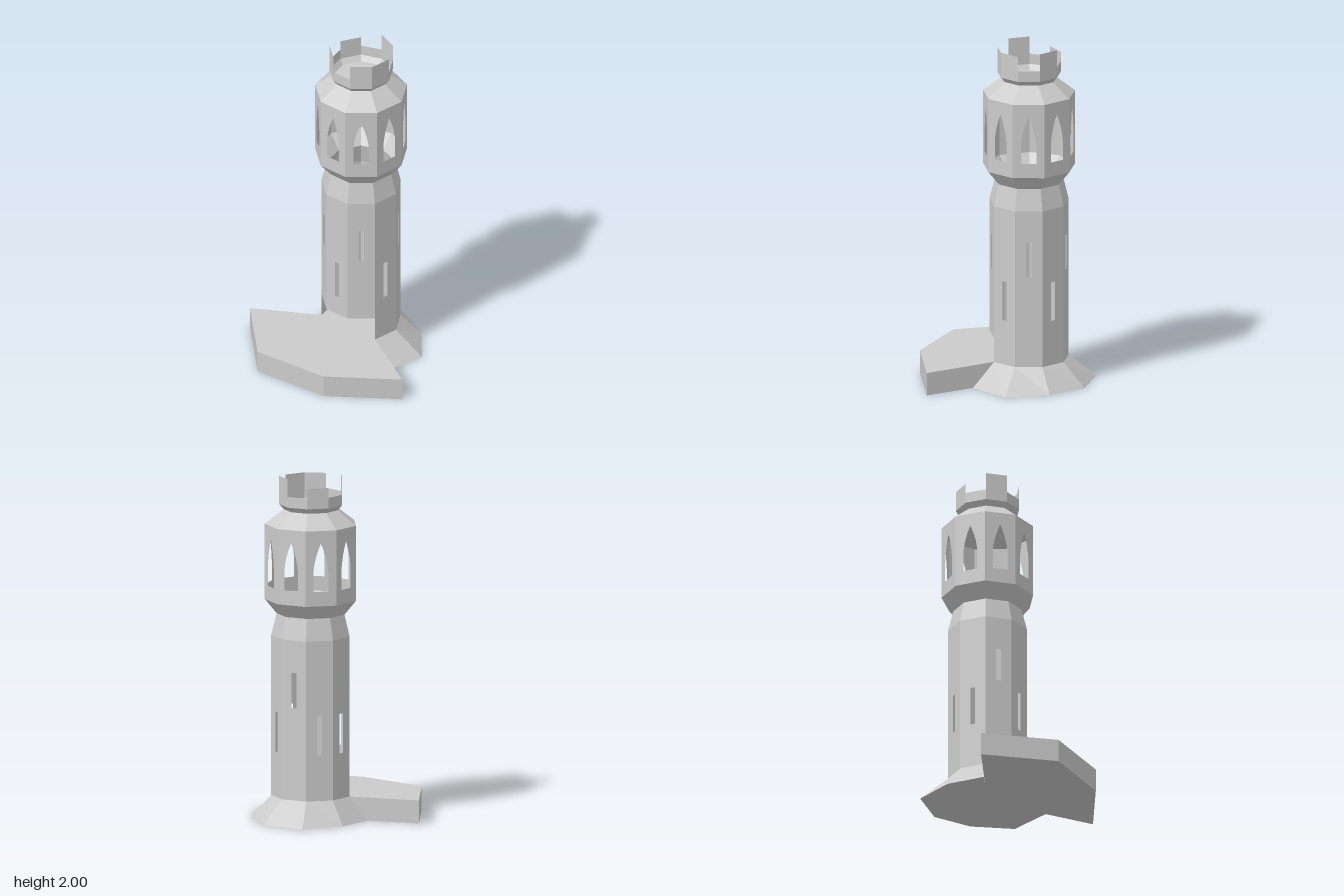
import * as THREE from 'three';

const SIDES = 9;
const STEP = (Math.PI * 2) / SIDES;
const CX = -0.014, CZ = -0.14; // tower axis
const R_SHAFT = 0.231, R_NECK = 0.2, R_GALLERY = 0.268, R_THROAT = 0.16, R_PARAPET = 0.185;
const PLATE_TOP = 0.135;

const material = new THREE.MeshStandardMaterial({
  color: 0xcccccc, flatShading: true, side: THREE.DoubleSide,
});

function addMesh(parent, name, geometry) {
  const mesh = new THREE.Mesh(geometry, material);
  mesh.name = name;
  parent.add(mesh);
  return mesh;
}

// Sloping nine-sided band with a corner at the back
function band(parent, name, y0, r0, y1, r1) {
  const g = new THREE.CylinderGeometry(r1, r0, y1 - y0, SIDES, 1, true);
  g.rotateY(Math.PI);
  g.translate(0, (y0 + y1) / 2, 0);
  addMesh(parent, name, g);
}

// Upright wall panel on side i (counted from the back corner towards +x), with an optional opening
function panel(parent, name, i, r, y0, y1, hole) {
  const h = r * Math.sin(STEP / 2);
  const shape = new THREE.Shape([
    new THREE.Vector2(-h, y0), new THREE.Vector2(h, y0),
    new THREE.Vector2(h, y1), new THREE.Vector2(-h, y1),
  ]);
  if (hole) shape.holes.push(hole);
  const g = new THREE.ShapeGeometry(shape, 6);
  g.translate(0, 0, r * Math.cos(STEP / 2));
  g.rotateY(Math.PI - (i + 0.5) * STEP);
  addMesh(parent, name, g);
}

function slit(y0, y1) {
  const w = 0.015;
  return new THREE.Path([
    new THREE.Vector2(-w, y0), new THREE.Vector2(-w, y1),
    new THREE.Vector2(w, y1), new THREE.Vector2(w, y0),
  ]);
}

function pointedWindow() {
  const w = 0.044, y0 = 1.365, spring = 1.48, top = 1.645;
  const p = new THREE.Path();
  p.moveTo(-w, y0);
  p.lineTo(-w, spring);
  p.quadraticCurveTo(-w * 0.8, 1.57, 0, top);
  p.quadraticCurveTo(w * 0.8, 1.57, w, spring);
  p.lineTo(w, y0);
  p.closePath();
  return p;
}

// Shaft corner k in world x, z
function corner(k, r = R_SHAFT) {
  return [CX + r * Math.sin(k * STEP), CZ - r * Math.cos(k * STEP)];
}

// Flat outline in x, z; the shape's y is -z so it can be laid down
function outline(points) {
  return new THREE.Shape(points.map(([x, z]) => new THREE.Vector2(x, -z)));
}

export function createModel() {
  const model = new THREE.Group();
  model.name = 'tower';

  const tower = new THREE.Group();
  tower.name = 'towerBody';
  tower.position.set(CX, 0, CZ);
  model.add(tower);

  // Shaft: the three front sides stop above the entrance
  const highSlits = [1, 3, 5, 8];
  for (let i = 0; i < SIDES; i++) {
    const bottom = i >= 3 && i <= 5 ? 0.28 : PLATE_TOP - 0.005;
    const hole = highSlits.includes(i) ? slit(0.675, 0.88) : slit(0.4, 0.632);
    panel(tower, 'shaftWall', i, R_SHAFT, bottom, 1.07, hole);
  }

  // Neck and gallery
  band(tower, 'neckTaper', 1.07, R_SHAFT, 1.197, R_NECK);
  band(tower, 'galleryCorbel', 1.197, R_NECK, 1.28, R_GALLERY);
  for (let i = 0; i < SIDES; i++) {
    panel(tower, 'galleryWall', i, R_GALLERY, 1.28, 1.72, pointedWindow());
  }
  band(tower, 'galleryRoof', 1.72, R_GALLERY, 1.805, R_THROAT);

  // Roof deck and flared parapet with uneven, broken merlons
  const deck = new THREE.CircleGeometry(R_THROAT, SIDES);
  deck.rotateZ(Math.PI / 2);
  deck.rotateX(-Math.PI / 2);
  deck.translate(0, 1.805, 0);
  addMesh(tower, 'roofDeck', deck);
  band(tower, 'parapetFlare', 1.805, R_THROAT, 1.835, R_PARAPET);
  const tops = [2.0, 1.897, 1.985, 1.985, 1.897, 2.0, 1.897, 1.955, 1.897];
  tops.forEach((top, i) => panel(tower, top > 1.9 ? 'merlon' : 'parapetWall', i, R_PARAPET, 1.835, top));

  // Front terrace, running into the shaft as its floor
  const terraceEdge = [[-0.575, 0.185], [-0.25, 0.505], [0.205, 0.46], [0.575, 0.195]];
  const shaftEdge = [3, 2, 1, 0, 8, 7, 6].map((k) => corner(k));
  const terrace = new THREE.ExtrudeGeometry(outline([...terraceEdge, ...shaftEdge]), {
    depth: PLATE_TOP, bevelEnabled: false,
  });
  terrace.rotateX(-Math.PI / 2);
  addMesh(model, 'terrace', terrace);

  // Uneven skirt round the back of the shaft
  const skirtEdge = [
    [0.31, 0.043], [0.38, -0.215], [0.21, -0.41], [-0.012, -0.51],
    [-0.265, -0.44], [-0.345, -0.2], [-0.31, 0.028],
  ];
  const positions = [], index = [];
  skirtEdge.forEach(([x, z], i) => {
    const [sx, sz] = shaftEdge[i];
    positions.push(x, 0, z, sx, PLATE_TOP, sz);
    if (i > 0) {
      const a = 2 * (i - 1);
      index.push(a, a + 2, a + 1, a + 1, a + 2, a + 3);
    }
  });
  const skirt = new THREE.BufferGeometry();
  skirt.setAttribute('position', new THREE.Float32BufferAttribute(positions, 3));
  skirt.setIndex(index);
  skirt.computeVertexNormals();
  addMesh(model, 'skirt', skirt);

  // Underside of the skirt
  const under = new THREE.ShapeGeometry(outline([...skirtEdge, ...shaftEdge.slice().reverse()]));
  under.rotateX(-Math.PI / 2);
  addMesh(model, 'skirtUnderside', under);

  return model;
}
